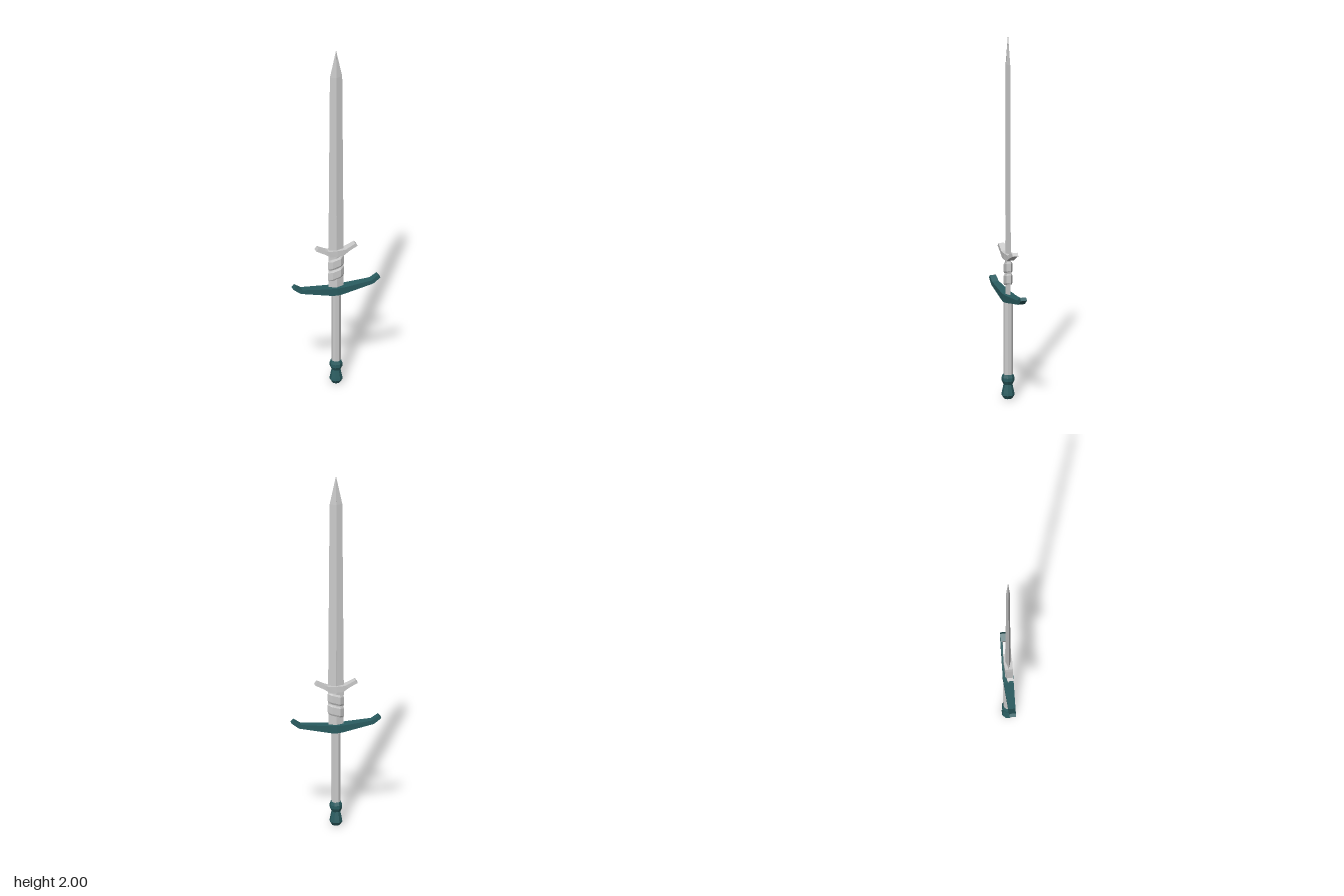
import * as THREE from 'three';

const grey = new THREE.MeshStandardMaterial({ color: 0xcccccc, flatShading: true });
const teal = new THREE.MeshStandardMaterial({ color: 0x2a5d61, flatShading: true });

// Skin a list of equal-sized rings, counterclockwise about the direction of travel, with end caps
function loft(rings) {
  const pos = [];
  const tri = (a, b, c) => pos.push(...a, ...b, ...c);
  const n = rings[0].length;
  for (let r = 0; r < rings.length - 1; r++) {
    const a = rings[r], b = rings[r + 1];
    for (let i = 0; i < n; i++) {
      const j = (i + 1) % n;
      tri(a[i], a[j], b[j]);
      tri(a[i], b[j], b[i]);
    }
  }
  const first = rings[0], last = rings[rings.length - 1];
  for (let i = 1; i < n - 1; i++) {
    tri(first[0], first[i + 1], first[i]);
    tri(last[0], last[i], last[i + 1]);
  }
  const g = new THREE.BufferGeometry();
  g.setAttribute('position', new THREE.Float32BufferAttribute(pos, 3));
  g.computeVertexNormals();
  return g;
}

// Diamond section at height y
const diamond = (y, w, d) => [[w, y, 0], [0, y, -d], [-w, y, 0], [0, y, d]];

// Flattened hexagonal section, tilted across x
const wrapRing = (y, w, d, tilt) =>
  [[w, 0], [w * 0.5, -d], [-w * 0.5, -d], [-w, 0], [-w * 0.5, d], [w * 0.5, d]]
    .map(([x, z]) => [x, y + x * tilt, z]);

// Mirrored cross bar from stations [xTop, yTop, xBottom, yBottom, halfDepth], centre to tip
function crossBar(stations) {
  const ring = (s, [xt, yt, xb, yb, d]) =>
    [[s * xt, yt, -d], [s * xt, yt, d], [s * xb, yb, d], [s * xb, yb, -d]];
  const left = stations.map(p => ring(1, p));
  const right = stations.slice(1).reverse().map(p => ring(-1, p));
  return loft([...right, ...left]);
}

export function createModel() {
  const group = new THREE.Group();
  const add = (name, geometry, material) => {
    const mesh = new THREE.Mesh(geometry, material);
    mesh.name = name;
    group.add(mesh);
    return mesh;
  };

  // Blade with its raised central rib
  add('blade', loft([
    diamond(0.56, 0.04, 0.014), diamond(0.78, 0.042, 0.013),
    diamond(1.84, 0.034, 0.011), diamond(2, 0.0005, 0.0005),
  ]), grey);
  add('bladeRib', loft([
    diamond(0.78, 0.006, 0.016), diamond(1.0, 0.005, 0.015), diamond(1.02, 0.001, 0.01),
  ]), grey);

  // Slanted wrap bands between the guards
  [0.655, 0.72].forEach((y, i) => add('wrapBand' + (i + 1), loft([
    wrapRing(y - 0.03, 0.04, 0.013, 0.3), wrapRing(y - 0.02, 0.044, 0.017, 0.3),
    wrapRing(y + 0.02, 0.044, 0.017, 0.3), wrapRing(y + 0.03, 0.04, 0.013, 0.3),
  ]), grey));

  // Small upper guard
  add('upperGuard', crossBar([
    [0, 0.8, 0, 0.766, 0.023], [0.045, 0.801, 0.035, 0.767, 0.021],
    [0.06, 0.807, 0.07, 0.79, 0.019], [0.102, 0.828, 0.114, 0.812, 0.016],
  ]), grey);

  // Main guard with upturned ends
  add('mainGuard', crossBar([
    [0, 0.577, 0, 0.535, 0.028], [0.04, 0.578, 0.03, 0.537, 0.026],
    [0.19, 0.592, 0.2, 0.572, 0.019], [0.226, 0.617, 0.24, 0.602, 0.017],
  ]), teal);

  // Bare end face on the right tip of the main guard
  add('guardEndCap', loft([
    [[-0.2405, 0.6025, -0.017], [-0.2265, 0.6175, -0.017], [-0.2265, 0.6175, 0.017], [-0.2405, 0.6025, 0.017]].reverse(),
    [[-0.24, 0.602, -0.017], [-0.226, 0.617, -0.017], [-0.226, 0.617, 0.017], [-0.24, 0.602, 0.017]].reverse(),
  ]), grey);

  // Eight-sided grip
  const grip = add('grip', new THREE.CylinderGeometry(0.025, 0.025, 0.43, 8), grey);
  grip.position.y = 0.335;
  grip.rotation.y = Math.PI / 8;

  // Waisted pommel
  const profile = [[0, 0], [0.022, 0.002], [0.035, 0.022], [0.033, 0.035], [0.024, 0.08],
    [0.034, 0.1], [0.034, 0.118], [0.028, 0.135], [0, 0.135]];
  const pommel = add('pommel', new THREE.LatheGeometry(
    profile.map(([r, y]) => new THREE.Vector2(r, y)), 8), teal);
  pommel.rotation.y = Math.PI / 8;

  return group;
}
